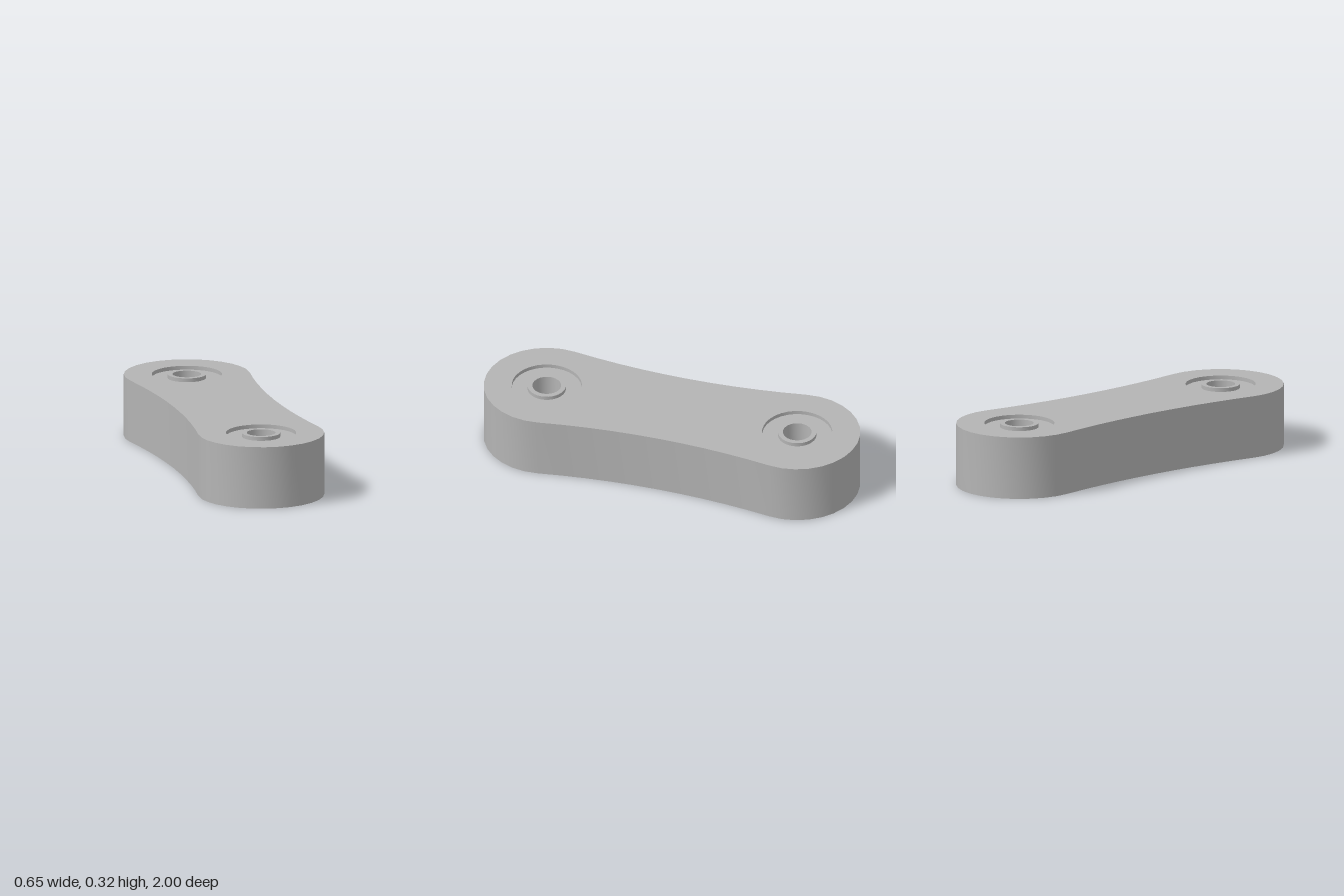
import * as THREE from 'three';
import { toCreasedNormals } from 'three/addons/utils/BufferGeometryUtils.js';

const H = 0.325;         // thickness
const END_Z = 0.675;     // bore centre distance from the middle
const END_R = 0.325;     // rounded end radius
const WAIST = 0.27;      // half width at the middle
const POCKET_R = 0.181, BOSS_R = 0.099, BORE_R = 0.074, DEPTH = 0.02;
const ROUND = 32;        // sides of pockets and bores

// Outline in (x, z): rounded ends joined by tangent concave sides
function outlinePoints() {
  const R = (WAIST ** 2 + END_Z ** 2 - END_R ** 2) / (2 * (END_R - WAIST));
  const tilt = Math.atan2(END_Z, WAIST + R);
  const half = [];
  const arcSteps = 16, sideSteps = 10;
  for (let i = 0; i <= arcSteps; i++) {
    const a = -tilt + (Math.PI + 2 * tilt) * i / arcSteps;
    half.push(new THREE.Vector2(END_R * Math.cos(a), END_Z + END_R * Math.sin(a)));
  }
  for (let i = 1; i < sideSteps; i++) {
    const a = tilt * (1 - 2 * i / sideSteps);
    half.push(new THREE.Vector2(-(WAIST + R) + R * Math.cos(a), R * Math.sin(a)));
  }
  return [...half, ...half.map(p => p.clone().negate())];
}

function circlePoints(r, z) {
  return Array.from({ length: ROUND }, (_, i) => {
    const a = -i / ROUND * Math.PI * 2;
    return new THREE.Vector2(r * Math.cos(a), z + r * Math.sin(a));
  });
}

// Side wall running round the outline
function wallGeometry(points) {
  const pos = [];
  points.forEach((a, i) => {
    const b = points[(i + 1) % points.length];
    pos.push(a.x, 0, a.y, a.x, H, a.y, b.x, H, b.y);
    pos.push(a.x, 0, a.y, b.x, H, b.y, b.x, 0, b.y);
  });
  const g = new THREE.BufferGeometry();
  g.setAttribute('position', new THREE.Float32BufferAttribute(pos, 3));
  return toCreasedNormals(g, 0.6);
}

export function createModel() {
  const model = new THREE.Group();
  model.name = 'linkArm';
  const metal = new THREE.MeshStandardMaterial({ color: 0xb4b4b4 });
  metal.name = 'plain grey';
  const add = (name, geometry) => {
    const mesh = new THREE.Mesh(geometry, metal);
    mesh.name = name;
    model.add(mesh);
    return mesh;
  };

  const outline = outlinePoints();
  add('sideWall', wallGeometry(outline));

  // Top and bottom faces, open at the pockets
  const face = new THREE.Shape(outline);
  for (const s of [-1, 1]) face.holes.push(new THREE.Path(circlePoints(POCKET_R, s * END_Z)));
  add('topFace', new THREE.ShapeGeometry(face).rotateX(-Math.PI / 2)).position.y = H;
  add('bottomFace', new THREE.ShapeGeometry(face).rotateX(Math.PI / 2));

  // Recessed pocket on both faces, raised boss and through bore at each end
  const profile = [
    [POCKET_R, H], [POCKET_R, H - DEPTH], [BOSS_R, H - DEPTH], [BOSS_R, H], [BORE_R, H],
    [BORE_R, 0], [BOSS_R, 0], [BOSS_R, DEPTH], [POCKET_R, DEPTH], [POCKET_R, 0],
  ].map(([r, y]) => new THREE.Vector2(r, y));
  const socket = toCreasedNormals(new THREE.LatheGeometry(profile, ROUND), 0.6);
  add('frontSocket', socket).position.z = END_Z;
  add('backSocket', socket).position.z = -END_Z;

  return model;
}
